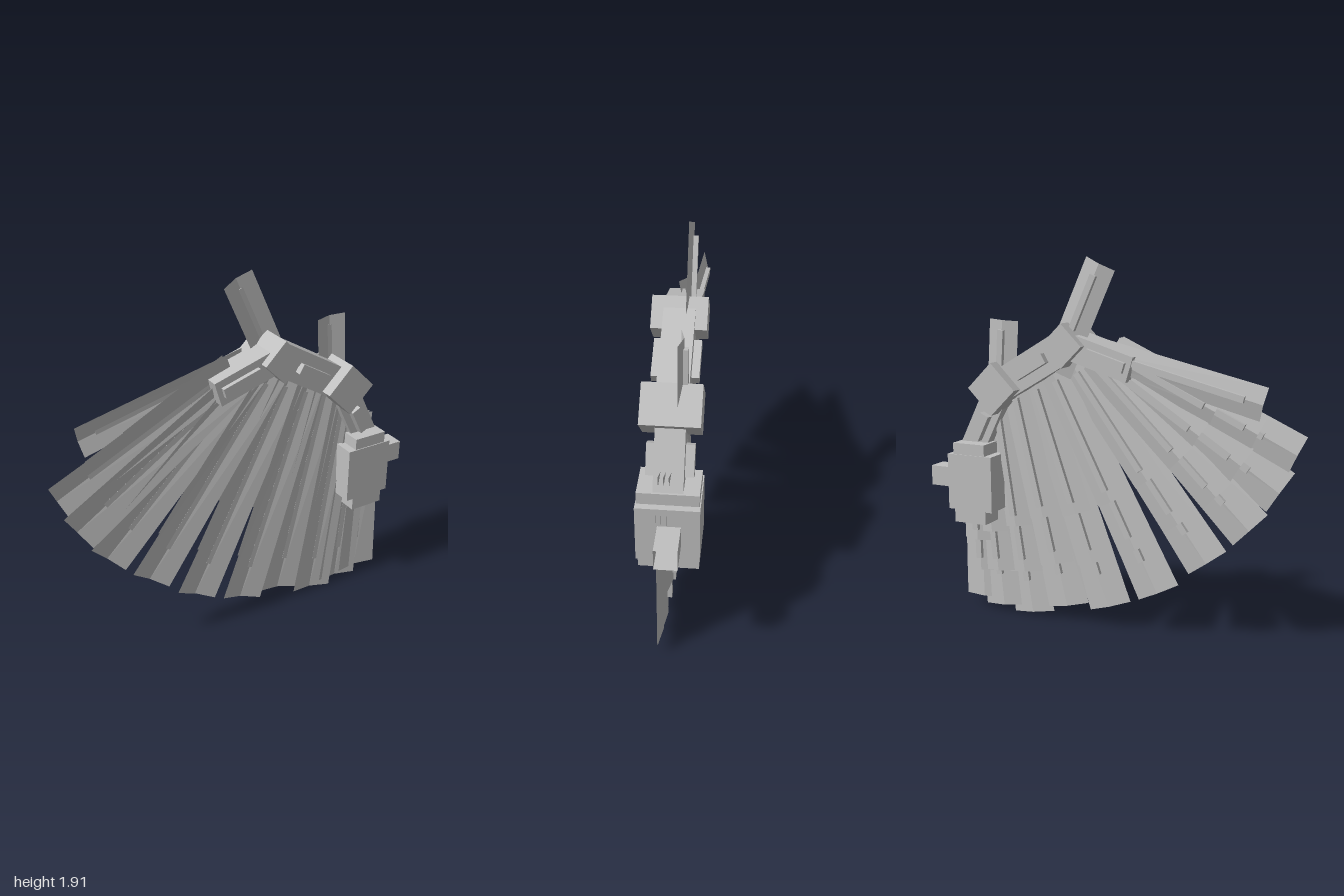
import * as THREE from 'three';

const grey = new THREE.MeshStandardMaterial({ color: 0xc0c0c0, flatShading: true, side: THREE.DoubleSide });
grey.name = 'plain grey';

// Box centred on a point, turned about z
function box(parent, name, [w, h, d], [x, y, z], angle = 0) {
  const mesh = new THREE.Mesh(new THREE.BoxGeometry(w, h, d), grey);
  mesh.name = name;
  mesh.position.set(x, y, z);
  mesh.rotation.z = angle;
  parent.add(mesh);
}

// Folded blade: a V section whose edges come forward of the centre fold
function bladeGeometry(length, baseWidth, tipWidth, fold) {
  const pos = [];
  for (const [y, w] of [[0, baseWidth], [length, tipWidth]])
    pos.push(-w / 2, y, fold, 0, y, 0, w / 2, y, fold);
  const geo = new THREE.BufferGeometry();
  geo.setAttribute('position', new THREE.Float32BufferAttribute(pos, 3));
  geo.setIndex([0, 1, 4, 0, 4, 3, 1, 2, 5, 1, 5, 4]);
  const flat = geo.toNonIndexed();
  flat.computeVertexNormals();
  return flat;
}

// Feather from base to tip with a raised rib on its back
function feather(parent, name, base, tip, z, baseWidth, tipWidth, ribGap, scale = 1) {
  const dx = tip[0] - base[0], dy = tip[1] - base[1];
  const length = Math.hypot(dx, dy) * scale;
  const group = new THREE.Group();
  group.name = name;
  group.position.set(base[0], base[1], z);
  group.rotation.z = Math.atan2(-dx, dy);
  const blade = new THREE.Mesh(bladeGeometry(length, baseWidth, tipWidth, 0.02), grey);
  blade.name = 'blade';
  group.add(blade);
  const ribLength = length - ribGap - 0.05;
  box(group, 'rib', [0.032, ribLength, 0.022], [0, 0.05 + ribLength / 2, -0.008]);
  parent.add(group);
}

// Arm beam between two joints, with a raised panel on each face
function beam(parent, name, a, b, width, depth, panelCentre, panelLength) {
  const dx = b[0] - a[0], dy = b[1] - a[1], angle = Math.atan2(dy, dx);
  box(parent, name, [Math.hypot(dx, dy), width, depth], [(a[0] + b[0]) / 2, (a[1] + b[1]) / 2, 0], angle);
  for (const s of [1, -1])
    box(parent, name + 'Panel', [panelLength, 0.052, 0.05], [...panelCentre, s * 0.083], angle);
}

export function createModel() {
  const model = new THREE.Group();
  model.name = 'mechanicalWing';

  // Shoulder mount: two crossing blocks
  box(model, 'mountBlock', [0.26, 0.295, 0.29], [0.71, 0.755, 0]);
  box(model, 'mountCore', [0.185, 0.425, 0.28], [0.715, 0.75, 0]);

  // Open square socket
  const socket = new THREE.Mesh(new THREE.CylinderGeometry(0.075, 0.075, 0.17, 4, 1, true), grey);
  socket.name = 'socket';
  socket.geometry.rotateY(Math.PI / 4);
  socket.geometry.rotateZ(Math.PI / 2);
  socket.position.set(0.915, 0.755, -0.008);
  model.add(socket);

  // Arm beams and diamond joints
  const wrist = [0.18, 1.49], elbow = [0.575, 1.255];
  beam(model, 'handBeam', [-0.165, 1.385], wrist, 0.13, 0.17, [-0.04, 1.425], 0.21);
  beam(model, 'foreBeam', wrist, elbow, 0.165, 0.145, [0.37, 1.375], 0.19);
  beam(model, 'upperBeam', elbow, [0.74, 0.92], 0.14, 0.135, [0.668, 1.05], 0.145);
  box(model, 'wristJoint', [0.155, 0.155, 0.255], [...wrist, 0], Math.PI / 4);
  box(model, 'elbowJoint', [0.19, 0.19, 0.27], [...elbow, 0], Math.PI / 4);

  // Fan: base and tip of each long feather, outermost first
  const fan = [
    [[-0.05, 1.46], [-0.97, 1.02]],
    [[0.03, 1.43], [-0.89, 0.83]],
    [[0.06, 1.42], [-0.75, 0.63]],
    [[0.17, 1.39], [-0.535, 0.435]],
    [[0.28, 1.35], [-0.28, 0.245]],
    [[0.39, 1.3], [-0.01, 0.13]],
    [[0.5, 1.25], [0.23, 0.1]],
    [[0.61, 1.18], [0.44, 0.03]],
    [[0.71, 1.05], [0.615, 0.045]],
    [[0.76, 0.87], [0.745, 0.075]],
  ];
  // Three stepped layers, shorter toward the back
  const layers = [
    ['longFeather', 1, 0.012, 0.24, 0.18],
    ['middleFeather', 0.8, -0.012, 0.2, 0.07],
    ['shortFeather', 0.58, -0.036, 0.17, 0.06],
  ];
  for (const [name, scale, z, width, ribGap] of layers)
    fan.forEach(([base, tip], i) => {
      const tipWidth = i === 0 ? width * 0.8 : width;
      feather(model, name, base, tip, z + (i % 2) * 0.006 + i * 0.0015, 0.165, tipWidth, ribGap, scale);
    });

  // Loose feathers: two upright, one behind the outer end
  feather(model, 'wristCrest', [0.25, 1.35], [0.01, 1.885], -0.05, 0.165, 0.165, 0.06);
  feather(model, 'elbowCrest', [0.575, 1.2], [0.55, 1.6], -0.05, 0.165, 0.165, 0.05);
  feather(model, 'outerCovert', [0.05, 1.47], [-0.82, 1.255], -0.058, 0.14, 0.165, 0.09);

  return model;
}
